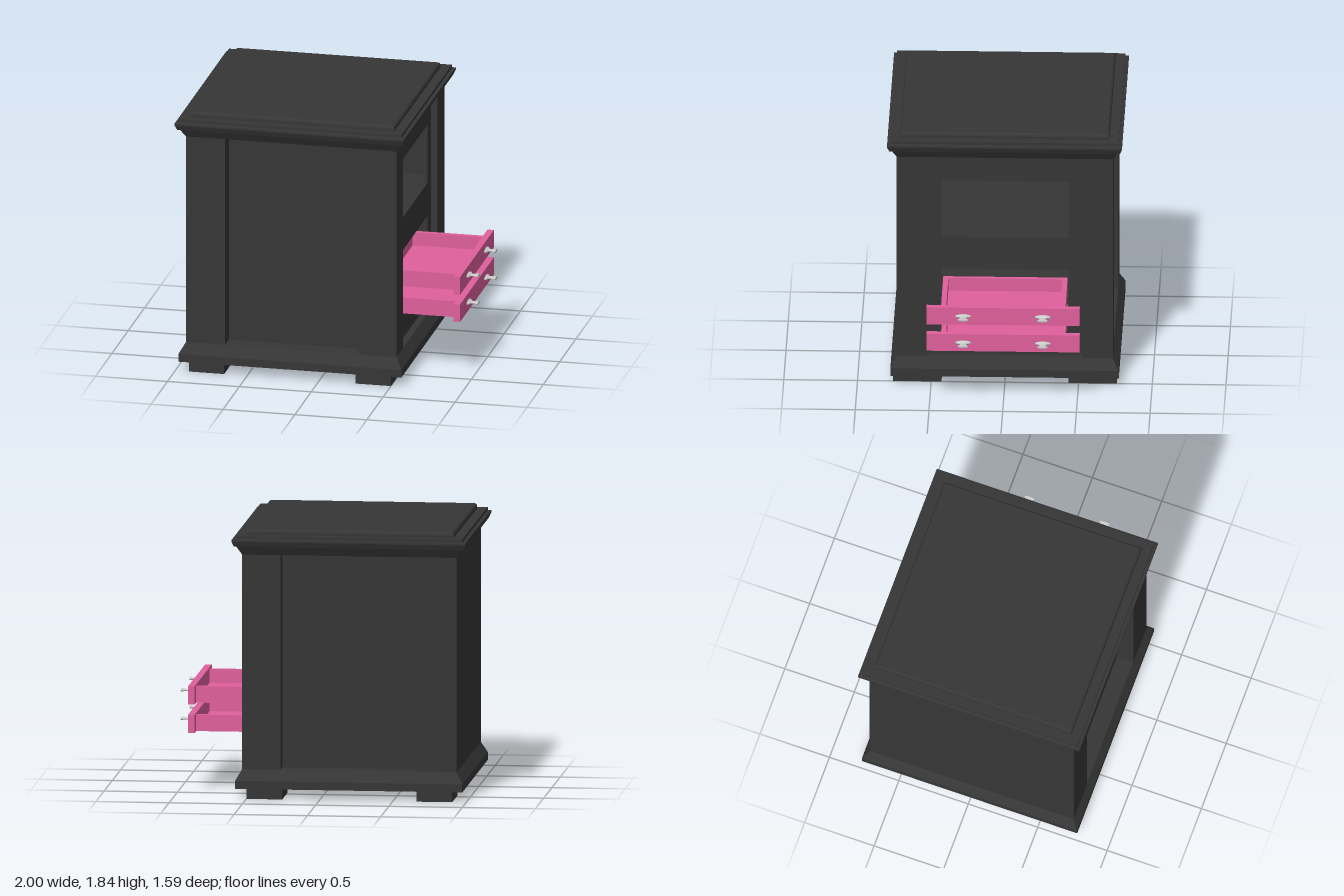
import * as THREE from 'three';

const dark = new THREE.MeshStandardMaterial({ color: 0x363636, flatShading: true });
const pink = new THREE.MeshStandardMaterial({ color: 0xe0609c });
const grey = new THREE.MeshStandardMaterial({ color: 0xcccccc });
const CX = -0.2; // centre of the cabinet body

// Box given by its minimum and maximum on each axis
function box(parent, name, [x0, x1], [y0, y1], [z0, z1], material = dark) {
  const mesh = new THREE.Mesh(new THREE.BoxGeometry(x1 - x0, y1 - y0, z1 - z0), material);
  mesh.position.set((x0 + x1) / 2, (y0 + y1) / 2, (z0 + z1) / 2);
  mesh.name = name;
  parent.add(mesh);
  return mesh;
}

// Square moulding: profile of [half width, height] swept round four sides
function moulding(parent, name, profile) {
  const pts = profile.map(([r, y]) => new THREE.Vector2(r * Math.SQRT2, y));
  const geo = new THREE.LatheGeometry(pts, 4, Math.PI / 4);
  const mesh = new THREE.Mesh(geo, dark);
  mesh.position.x = CX;
  mesh.name = name;
  parent.add(mesh);
}

function rectangle(target, z0, z1, y0, y1) {
  target.moveTo(z0, y0);
  target.lineTo(z1, y0);
  target.lineTo(z1, y1);
  target.lineTo(z0, y1);
  target.closePath();
  return target;
}

function createCabinet() {
  const g = new THREE.Group();
  g.name = 'cabinet';

  // Base, cornice and raised top
  moulding(g, 'plinth', [[0, 0.07], [0.775, 0.07], [0.775, 0.125], [0.732, 0.2], [0, 0.2]]);
  moulding(g, 'cornice', [
    [0, 1.67], [0.732, 1.67], [0.767, 1.728], [0.782, 1.73], [0.797, 1.765],
    [0.797, 1.778], [0.775, 1.782], [0.775, 1.803], [0, 1.803],
  ]);
  moulding(g, 'topPanel', [
    [0.71, 1.8], [0.71, 1.82], [0.706, 1.832], [0.695, 1.84], [0, 1.84],
  ]);

  for (const s of [1, -1]) {
    const span = (a, b) => (s > 0 ? [a, b] : [-b, -a]);
    // Feet
    box(g, 'foot', [-0.905, -0.66], [0, 0.07], span(0.43, 0.76));
    box(g, 'foot', [0.255, 0.5], [0, 0.07], span(0.43, 0.76));
    // Corner posts and recessed side panels
    box(g, 'backPost', [-0.932, -0.66], [0.2, 1.67], span(0.525, 0.735));
    box(g, 'frontPost', [0.27, 0.532], [0.2, 1.67], span(0.6, 0.735));
    box(g, 'frontPostEdge', [0.455, 0.532], [0.2, 1.67], span(0.525, 0.6));
    box(g, 'sidePanel', [-0.66, 0.27], [0.2, 1.67], span(0.59, 0.615));
  }
  box(g, 'backPanel', [-0.932, -0.9], [0.2, 1.67], [-0.735, 0.735]);
  box(g, 'shelf', [-0.9, 0.46], [1.03, 1.065], [-0.6, 0.6]);
  box(g, 'lowerFloor', [-0.9, 0.46], [0.36, 0.395], [-0.6, 0.6]);

  // Face panel with two openings
  const shape = rectangle(new THREE.Shape(), -0.525, 0.525, 0.2, 1.67);
  shape.holes.push(rectangle(new THREE.Path(), -0.43, 0.43, 1.065, 1.48));
  shape.holes.push(rectangle(new THREE.Path(), -0.43, 0.43, 0.395, 0.83));
  const face = new THREE.Mesh(
    new THREE.ExtrudeGeometry(shape, { depth: 0.03, bevelEnabled: false }), dark);
  face.rotation.y = Math.PI / 2;
  face.position.x = 0.455;
  face.name = 'facePanel';
  g.add(face);
  return g;
}

// Flared oval pull, turned on the x axis and flattened in height
function createKnob() {
  const profile = [
    [0, 0], [0.054, 0], [0.054, 0.008], [0.046, 0.016], [0.026, 0.022],
    [0.022, 0.036], [0.025, 0.05], [0.036, 0.066], [0.036, 0.071], [0.03, 0.075], [0, 0.075],
  ].map(([r, y]) => new THREE.Vector2(r, y));
  const geo = new THREE.LatheGeometry(profile, 32);
  geo.rotateZ(-Math.PI / 2);
  geo.scale(1, 0.29, 1);
  const knob = new THREE.Mesh(geo, grey);
  knob.name = 'knob';
  return knob;
}

function createDrawer(y) {
  const g = new THREE.Group();
  g.name = 'drawer';
  const sides = [0, 0.113];
  box(g, 'drawerFront', [0.88, 0.925], [0, 0.125], [-0.52, 0.52], pink);
  box(g, 'drawerBottom', [0.36, 0.88], [0, 0.02], [-0.422, 0.422], pink);
  box(g, 'drawerBack', [0.36, 0.39], sides, [-0.387, 0.387], pink);
  for (const s of [1, -1]) {
    box(g, 'drawerSide', [0.36, 0.88], sides, s > 0 ? [0.387, 0.422] : [-0.422, -0.387], pink);
    const knob = createKnob();
    knob.position.set(0.925, 0.064, s * 0.27);
    g.add(knob);
  }
  g.position.y = y;
  return g;
}

export function createModel() {
  const model = new THREE.Group();
  model.name = 'bedsideCabinet';
  model.add(createCabinet());
  for (const y of [0.41, 0.605]) model.add(createDrawer(y));
  return model;
}
